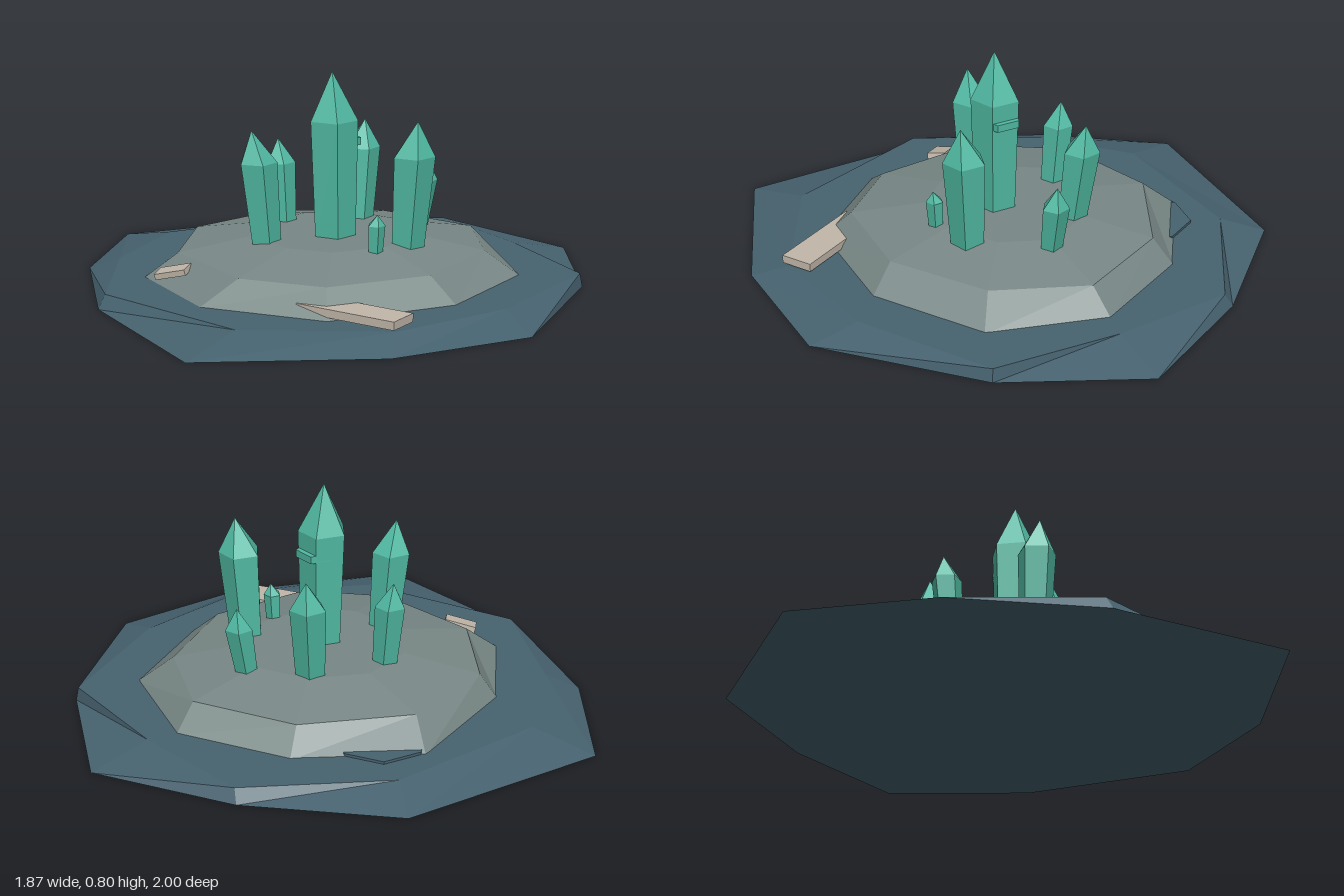
import * as THREE from 'three';

const mat = (name, color) => {
  const m = new THREE.MeshStandardMaterial({ color });
  m.name = name;
  return m;
};

// Closed faceted solid through a stack of rings (bottom to top), each { y, pts: [[x, z], ...] }
function loft(rings) {
  const pos = [];
  const tri = (...v) => v.forEach(p => pos.push(...p));
  const rows = rings.map(r => r.pts.map(([x, z]) => [x, r.y, z]));
  const n = rows[0].length;
  const centre = row => [0, 1, 2].map(k => row.reduce((s, p) => s + p[k], 0) / n);
  const bottom = rows[0], top = rows[rows.length - 1];
  const cb = centre(bottom), ct = centre(top);
  for (let i = 0; i < n; i++) {
    const j = (i + 1) % n;
    for (let r = 0; r < rows.length - 1; r++) {
      const a = rows[r], b = rows[r + 1];
      tri(a[i], b[i], a[j]);
      tri(a[j], b[i], b[j]);
    }
    tri(cb, bottom[i], bottom[j]);
    tri(ct, top[j], top[i]);
  }
  const g = new THREE.BufferGeometry();
  g.setAttribute('position', new THREE.Float32BufferAttribute(pos, 3));
  g.computeVertexNormals();
  return g;
}

// Five-sided leaning crystal: foot, shoulder and tip given as [x, y, z]
function crystalGeometry(foot, shoulder, tip, footR, shoulderR, turn) {
  let g = new THREE.CylinderGeometry(1, 1, 2, 5, 2);
  g.rotateY(Math.PI / 2 + turn);
  const p = g.attributes.position;
  const rows = [[foot, footR], [shoulder, shoulderR], [tip, 0]];
  for (let i = 0; i < p.count; i++) {
    const [c, r] = rows[Math.round(p.getY(i)) + 1];
    p.setXYZ(i, c[0] + p.getX(i) * r, c[1], c[2] + p.getZ(i) * r);
  }
  g = g.toNonIndexed();
  g.computeVertexNormals();
  return g;
}

export function createModel() {
  const group = new THREE.Group();
  const slate = mat('slate', 0x46626f);
  const stone = mat('stone', 0x788886);
  const crystal = mat('crystal', 0x50b9a2);
  const bone = mat('paleStone', 0xc2b7aa);
  const add = (name, geometry, material) => {
    const m = new THREE.Mesh(geometry, material);
    m.name = name;
    group.add(m);
    return m;
  };

  // Broad irregular base with a bevelled rim
  add('base', loft([
    { y: 0, pts: [[-0.23, -1], [0.34, -0.89], [0.84, -0.65], [0.93, -0.1], [0.78, 0.555],
      [0.335, 0.86], [-0.325, 1], [-0.76, 0.455], [-0.935, -0.08], [-0.915, -0.6]] },
    { y: 0.05, pts: [[-0.21, -0.83], [0.345, -0.86], [0.65, -0.51], [0.92, -0.1], [0.68, 0.4],
      [0.335, 0.72], [-0.2, 0.78], [-0.74, 0.43], [-0.81, -0.06], [-0.71, -0.47]] },
  ]), slate);

  // Stone mound: sloped skirt, shoulder and small flat summit
  const shoulder = [[-0.29, -0.53], [0.13, -0.59], [0.49, -0.4], [0.57, -0.04], [0.41, 0.33],
    [0.07, 0.535], [-0.25, 0.47], [-0.535, 0.16], [-0.545, -0.225]];
  add('mound', loft([
    { y: 0.045, pts: [[-0.315, -0.66], [0.155, -0.67], [0.55, -0.47], [0.705, -0.045], [0.51, 0.38],
      [0.09, 0.645], [-0.38, 0.54], [-0.66, 0.19], [-0.61, -0.235]] },
    { y: 0.14, pts: shoulder },
    { y: 0.19, pts: shoulder.map(([x, z]) => [0.03 + (x - 0.03) * 0.53, -0.05 + (z + 0.05) * 0.53]) },
  ]), stone);

  // Crystals: foot, shoulder, tip, foot radius, shoulder radius, turn
  const crystals = [
    ['centreCrystal', [0.02, 0.16, 0], [0.015, 0.62, 0], [0.012, 0.8, 0.005], 0.078, 0.092, 0],
    ['leftFrontCrystal', [0.295, 0.15, 0.065], [0.318, 0.51, 0.073], [0.335, 0.64, 0.085], 0.062, 0.08, 0],
    ['rightFrontCrystal', [-0.215, 0.15, 0.112], [-0.243, 0.48, 0.125], [-0.262, 0.6, 0.14], 0.056, 0.072, 0.15],
    ['backCrystal', [0.07, 0.15, -0.285], [0.08, 0.455, -0.32], [0.088, 0.56, -0.335], 0.054, 0.068, 0.2],
    ['rightBackCrystal', [-0.2, 0.15, -0.19], [-0.218, 0.41, -0.208], [-0.228, 0.5, -0.217], 0.046, 0.057, 0.1],
    ['leftBackCrystal', [0.295, 0.14, -0.23], [0.325, 0.35, -0.25], [0.332, 0.43, -0.257], 0.04, 0.051, 0.3],
    ['smallCrystal', [0.195, 0.15, 0.195], [0.2, 0.28, 0.2], [0.206, 0.32, 0.205], 0.026, 0.033, 0.1],
  ];
  for (const [name, ...shape] of crystals) add(name, crystalGeometry(...shape), crystal);

  // Chip on the back of the centre crystal
  const chip = new THREE.CylinderGeometry(0.075, 0.075, 0.028, 5).rotateY(Math.PI / 2).toNonIndexed();
  chip.computeVertexNormals();
  add('crystalChip', chip, crystal).position.set(0.04, 0.54, -0.02);

  // Loose pale slabs resting against the mound
  const slab = add('frontSlab', new THREE.BoxGeometry(0.395, 0.03, 0.124), bone);
  slab.position.set(0.177, 0.075, 0.601);
  slab.rotation.y = -0.44;
  const flake = add('sideFlake', new THREE.BoxGeometry(0.12, 0.022, 0.07), bone);
  flake.position.set(-0.525, 0.103, 0.285);
  flake.rotation.set(0.12, -0.15, 0.25);

  // Flat dark flake tucked under the back of the mound
  const tuck = new THREE.CylinderGeometry(0.17, 0.17, 0.014, 7).rotateY(Math.PI).toNonIndexed();
  tuck.computeVertexNormals();
  add('backFlake', tuck, slate).position.set(-0.165, 0.053, -0.55);

  return group;
}
